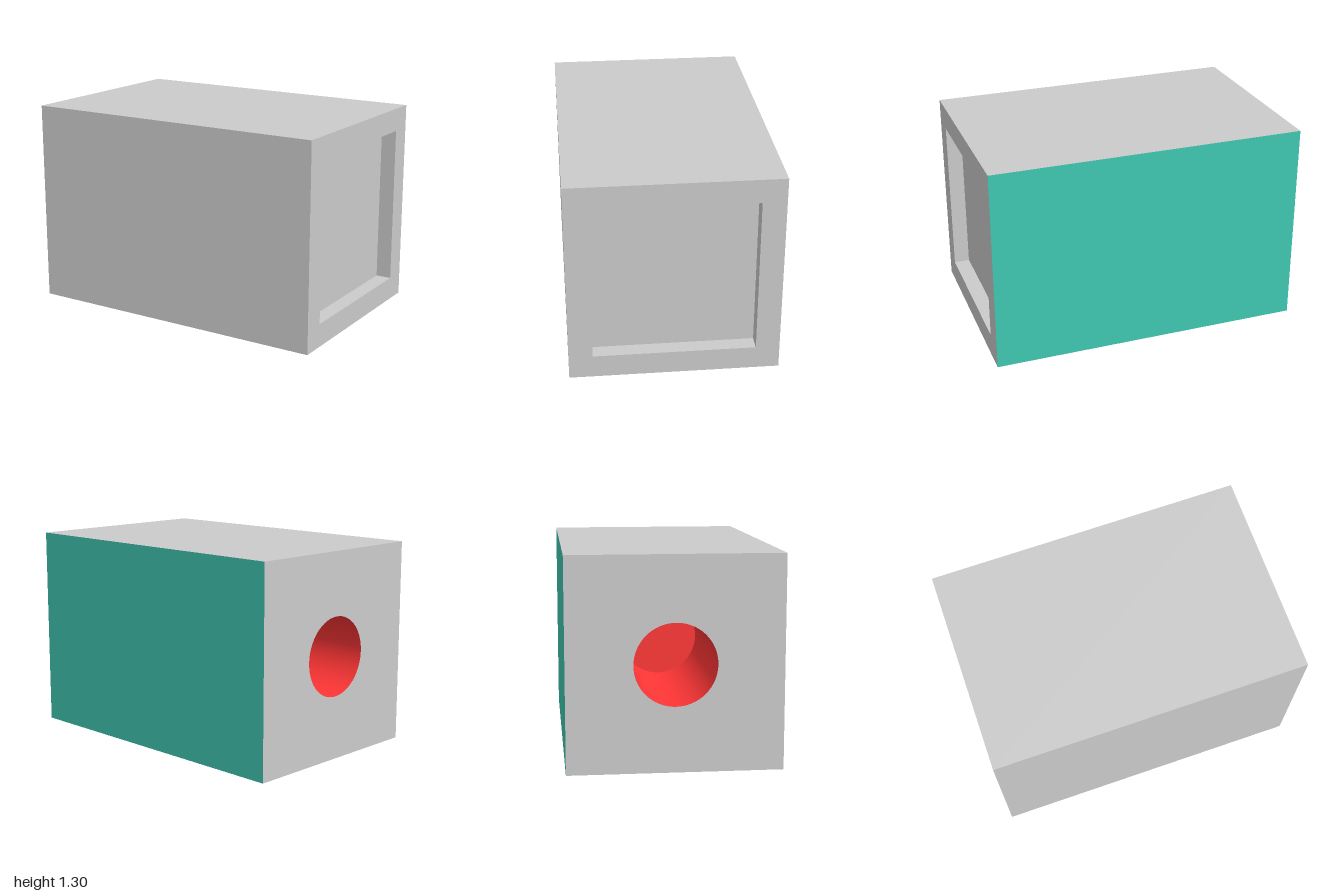
import * as THREE from 'three';

const L = 2, S = 1.3;                      // length along x, square section
const RECESS = 1.005, RECESS_DEPTH = 0.1;  // square recess in the left end
const BORE_R = 0.25, BORE_DEPTH = 1;       // round bore in the right end

const mat = (color, extra = {}) => {
  const m = new THREE.MeshStandardMaterial({ color });
  return Object.assign(m, extra);
};

function square(size, Type = THREE.Shape) {
  const h = size / 2;
  return new Type([[-h, -h], [h, -h], [h, h], [-h, h]].map(([x, y]) => new THREE.Vector2(x, y)));
}

export function createModel() {
  const model = new THREE.Group();
  const grey = mat(0xcccccc);
  const teal = mat(0x40c8b2);
  const red = mat(0xff3535);

  const add = (name, geometry, material, x = 0, y = 0, z = 0) => {
    const mesh = new THREE.Mesh(geometry, material);
    mesh.name = name;
    mesh.position.set(x, y + S / 2, z);
    model.add(mesh);
    return mesh;
  };

  // Long sides
  add('frontPanel', new THREE.PlaneGeometry(L, S), grey, 0, 0, S / 2);
  add('backPanel', new THREE.PlaneGeometry(L, S).rotateY(Math.PI), teal, 0, 0, -S / 2);
  add('topPanel', new THREE.PlaneGeometry(L, S).rotateX(-Math.PI / 2), grey, 0, S / 2);
  add('bottomPanel', new THREE.PlaneGeometry(L, S).rotateX(Math.PI / 2), grey, 0, -S / 2);

  // Left end: square frame around a shallow recess
  const frame = square(S);
  frame.holes.push(square(RECESS, THREE.Path));
  add('leftFrame', new THREE.ShapeGeometry(frame).rotateY(Math.PI / 2), grey, L / 2);
  const r = RECESS / Math.SQRT2;
  const walls = new THREE.CylinderGeometry(r, r, RECESS_DEPTH, 4, 1, true)
    .rotateY(Math.PI / 4).rotateZ(Math.PI / 2);
  add('recessWalls', walls, mat(0xcccccc, { flatShading: true, side: THREE.BackSide }), (L - RECESS_DEPTH) / 2);
  add('recessFloor', new THREE.PlaneGeometry(RECESS, RECESS).rotateY(Math.PI / 2), grey, L / 2 - RECESS_DEPTH);

  // Right end: plate with a deep round bore
  const plate = square(S);
  plate.holes.push(new THREE.Path().absarc(0, 0, BORE_R, 0, Math.PI * 2, true));
  add('rightPlate', new THREE.ShapeGeometry(plate, 32).rotateY(-Math.PI / 2), grey, -L / 2);
  const bore = new THREE.CylinderGeometry(BORE_R, BORE_R, BORE_DEPTH, 64, 1, true).rotateZ(Math.PI / 2);
  add('boreWall', bore, mat(0xff3535, { side: THREE.BackSide }), (BORE_DEPTH - L) / 2);
  add('boreEnd', new THREE.CircleGeometry(BORE_R, 64).rotateY(-Math.PI / 2), red, BORE_DEPTH - L / 2);

  return model;
}
